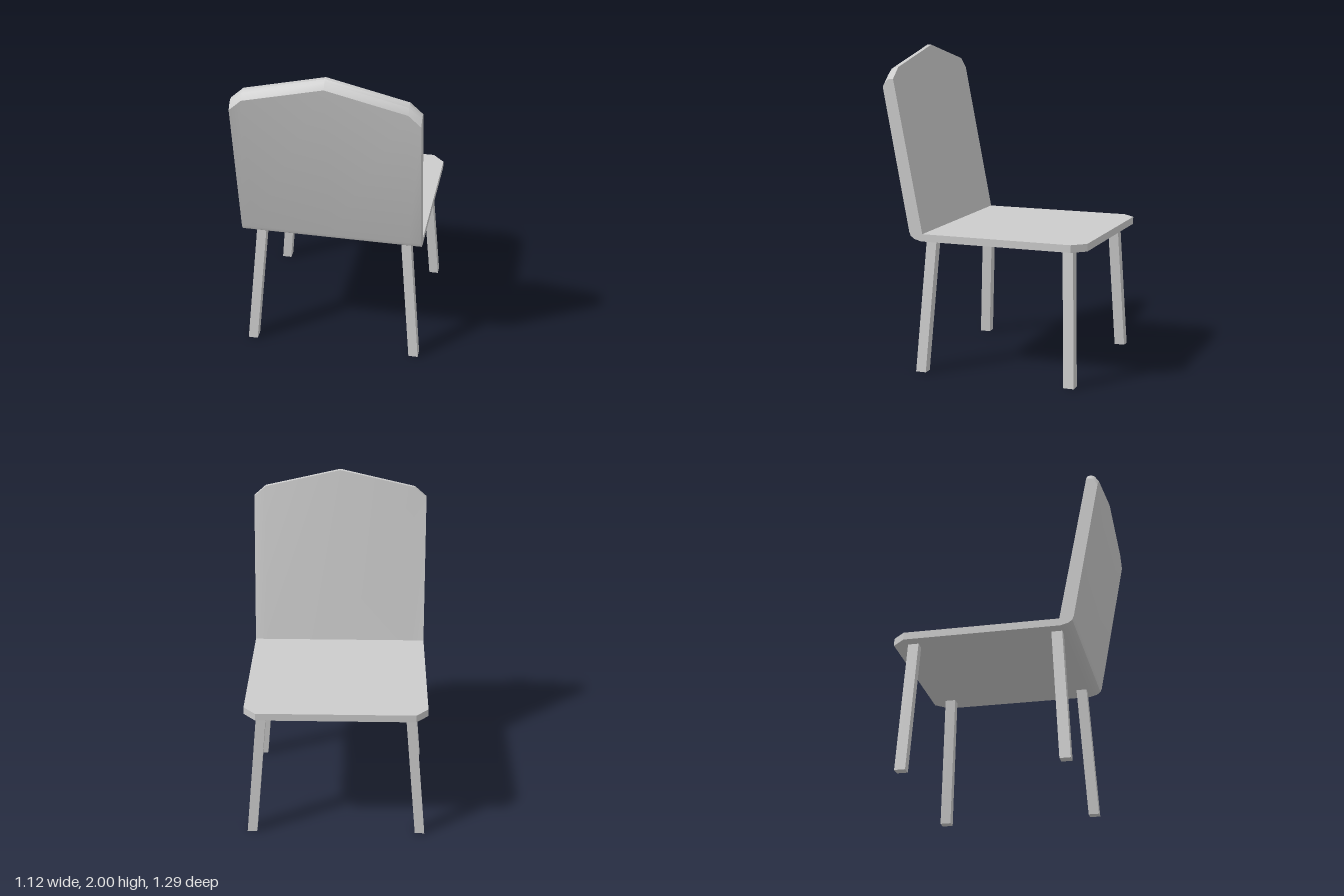
import * as THREE from 'three';
import { toCreasedNormals } from 'three/addons/utils/BufferGeometryUtils.js';

// Side outline of the shell as [z, y], running from the seat's front edge round the back
const profile = (front, top) => [
  [front, 0.83], [0.4, 0.83], [0.445, 0.842], [0.47, 0.86], [0.48, 0.885],
  [0.645, top - 0.05], [0.62, top - 0.012], [0.602, top], [0.575, top],
  [0.392, 0.876], [front, 0.876],
];

// Stations across the width: [x, seat front z, top of backrest y]
const half = [[0.56, -0.565, 1.82], [0.485, -0.645, 1.887]];
const stations = [
  ...half.map(([x, f, t]) => [-x, f, t]),
  [0, -0.645, 2],
  ...half.slice().reverse(),
];

function shellGeometry() {
  const pos = [];
  const rings = stations.map(([x, f, t]) => profile(f, t).map(([z, y]) => [x, y, z]));
  const tri = (a, b, c) => pos.push(...a, ...b, ...c);
  for (let s = 0; s < rings.length - 1; s++) {
    const p = rings[s], q = rings[s + 1], n = p.length;
    for (let i = 0; i < n; i++) {
      const j = (i + 1) % n;
      tri(p[i], q[i], q[j]);
      tri(p[i], q[j], p[j]);
    }
  }
  // Flat sides
  const first = rings[0], last = rings[rings.length - 1];
  const outline = first.map(([, y, z]) => new THREE.Vector2(z, y));
  for (const [a, b, c] of THREE.ShapeUtils.triangulateShape(outline, [])) {
    tri(first[a], first[b], first[c]);
    tri(last[a], last[c], last[b]);
  }
  const geo = new THREE.BufferGeometry();
  geo.setAttribute('position', new THREE.Float32BufferAttribute(pos, 3));
  return toCreasedNormals(geo, 0.5);
}

// Square leg sheared between its foot and its top, keeping both ends level
function legGeometry(foot, head) {
  const height = 0.835;
  const geo = new THREE.BoxGeometry(0.06, height, 0.066);
  geo.translate(0, height / 2, 0);
  const p = geo.attributes.position;
  for (let i = 0; i < p.count; i++) {
    const t = p.getY(i) / height;
    p.setX(i, p.getX(i) + THREE.MathUtils.lerp(foot[0], head[0], t));
    p.setZ(i, p.getZ(i) + THREE.MathUtils.lerp(foot[1], head[1], t));
  }
  geo.computeVertexNormals();
  return geo;
}

export function createModel() {
  const group = new THREE.Group();
  group.name = 'chair';
  const material = new THREE.MeshStandardMaterial({ color: 0xcccccc });
  const add = (name, geo) => {
    const mesh = new THREE.Mesh(geo, material);
    mesh.name = name;
    group.add(mesh);
  };

  add('seatAndBackrest', shellGeometry());

  // Four splayed legs; the backrest stands on the +z side
  for (const [side, s] of [['Left', 1], ['Right', -1]]) {
    add('backrestLeg' + side, legGeometry([s * 0.528, 0.413], [s * 0.455, 0.363]));
    add('seatEdgeLeg' + side, legGeometry([s * 0.528, -0.558], [s * 0.455, -0.523]));
  }
  return group;
}
